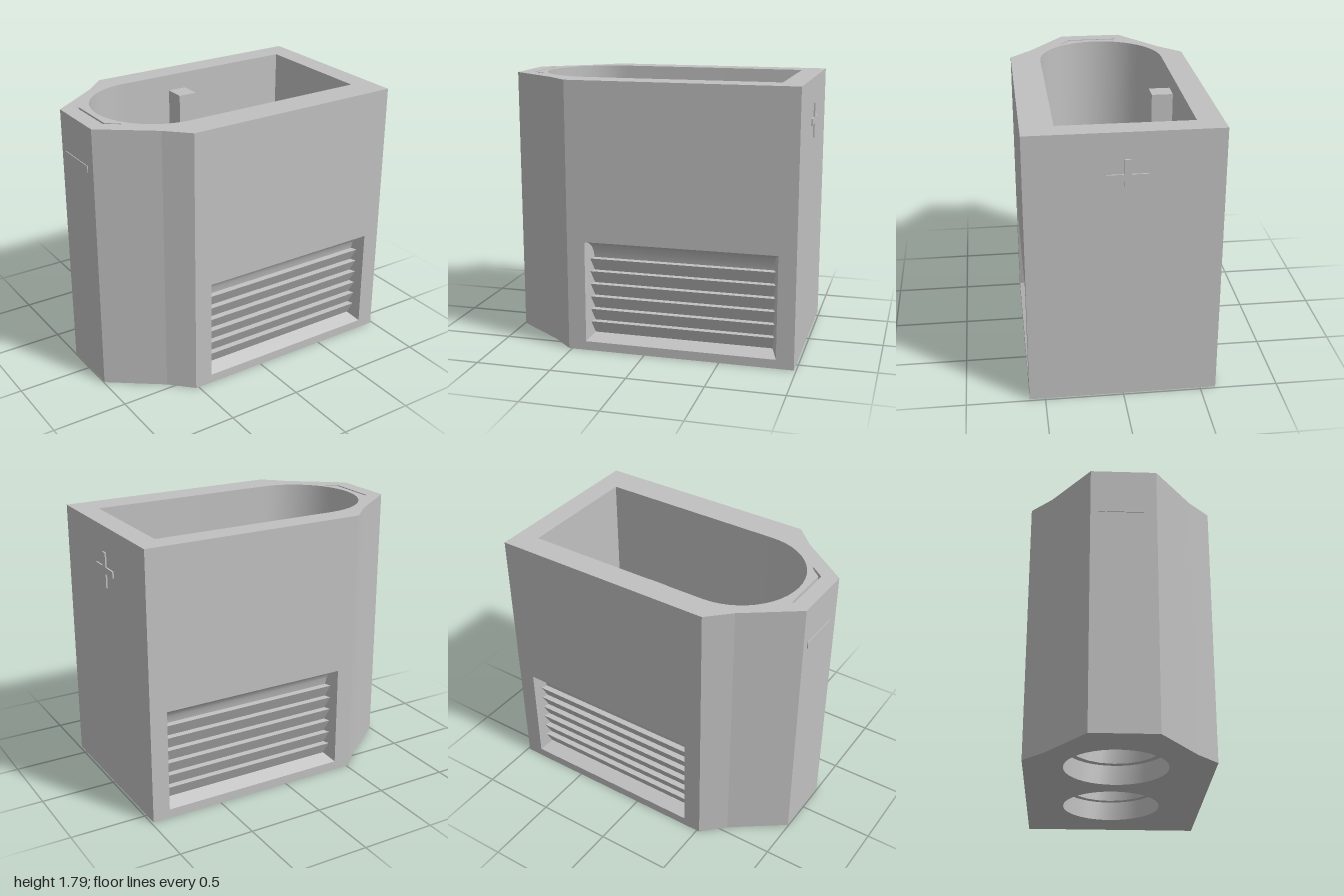
import * as THREE from 'three';
import { toCreasedNormals } from 'three/addons/utils/BufferGeometryUtils.js';

const H = 1.79;        // body height
const FLOOR = 0.4;     // cavity floor
const LEDGE = 0.13;    // depth of the counterbores
const XR = 0.985, XL = -0.995, CZ = -0.02;

export function createModel() {
  const model = new THREE.Group();
  const grey = new THREE.MeshStandardMaterial({ color: 0xc0c0c0, side: THREE.DoubleSide });
  grey.name = 'grey plastic';

  const add = (geo, name, parent = model) => {
    const mesh = new THREE.Mesh(geo, grey);
    mesh.name = name;
    parent.add(mesh);
    return mesh;
  };

  // Strip of quads between two rows of 3D points
  const strip = (low, high, crease) => {
    const pos = [];
    for (let i = 0; i < low.length - 1; i++) {
      const [a, b, c, d] = [low[i], low[i + 1], high[i + 1], high[i]];
      pos.push(...a, ...b, ...c, ...a, ...c, ...d);
    }
    const g = new THREE.BufferGeometry();
    g.setAttribute('position', new THREE.Float32BufferAttribute(pos, 3));
    return toCreasedNormals(g, crease);
  };
  // Upright wall along [x, z] points
  const wall = (pts, y0, y1, crease = 0.05) =>
    strip(pts.map(([x, z]) => [x, y0, z]), pts.map(([x, z]) => [x, y1, z]), crease);
  const closed = (pts) => [...pts, pts[0]];
  const shapeOf = (pts) => new THREE.Shape(pts.map(([x, y]) => new THREE.Vector2(x, y)));
  const flip = (g) => {
    const idx = g.index.array;
    for (let i = 0; i < idx.length; i += 3) [idx[i], idx[i + 1]] = [idx[i + 1], idx[i]];
    g.computeVertexNormals();
    return g;
  };
  // Level plate with holes, facing up or down
  const plate = (pts, holes, y, up) => {
    const s = shapeOf(pts);
    s.holes = holes.map(shapeOf);
    const g = new THREE.ShapeGeometry(s).rotateX(Math.PI / 2).translate(0, y, 0);
    return up ? flip(g) : g;
  };
  // Clockwise circle seen from above, so its wall faces inward
  const circle = (cx, r, n = 20) => Array.from({ length: n }, (_, i) => {
    const a = (i / n) * Math.PI * 2;
    return [cx + r * Math.cos(a), CZ + r * Math.sin(a)];
  });

  // Outer walls
  const nose = [[-0.52, -0.6], [-0.66, -0.46], [XL, -0.21], [XL, 0.21], [-0.66, 0.46], [-0.52, 0.6]];
  const side = [[XR, 0.6], [XR, -0.6]];
  const outline = [...side, ...nose];
  add(wall(side, 0, H), 'flatEndWall');
  add(wall(nose, 0, H), 'noseWall');

  // Cavity: square at one end, round at the other
  const cavity = [[0.84, -0.44], [0.84, 0.4]];
  for (let i = 0; i <= 24; i++) {
    const a = Math.PI / 2 + (i / 24) * Math.PI;
    cavity.push([-0.42 + 0.42 * Math.cos(a), CZ + 0.42 * Math.sin(a)]);
  }
  add(wall(closed(cavity), FLOOR, H, 0.4), 'cavityWall');

  // Thin bent slot in the rim
  const slot = [[-0.88, -0.18], [-0.88, 0.155], [-0.8, 0.225], [-0.805, 0.233], [-0.895, 0.165], [-0.895, -0.18]];
  add(wall(closed(slot), H - 0.1, H), 'slotWall');
  add(plate(slot, [], H - 0.1, true), 'slotFloor');

  // Rim, floor and underside with the two stepped holes
  const centres = [-0.4, 0.4];
  const bores = centres.map((x) => circle(x, 0.29));
  const counterbores = centres.map((x) => circle(x, 0.33, 40));
  add(plate(outline, [cavity, slot], H, true), 'rim');
  add(plate(cavity, bores, FLOOR, true), 'cavityFloor');
  add(plate(outline, counterbores, 0, false), 'underside');
  centres.forEach((_, i) => {
    add(wall(closed(counterbores[i]), 0, LEDGE, 0.5), 'counterboreWall');
    add(plate(counterbores[i], [bores[i]], LEDGE, false), 'counterboreLedge');
    add(wall(closed(bores[i]), LEDGE, FLOOR, 0.5), 'holeWall');
  });

  // Post inside the cavity
  const post = add(new THREE.BoxGeometry(0.13, 1.68 - FLOOR, 0.14), 'cavityPost');
  post.position.set(-0.005, (1.68 + FLOOR) / 2, -0.37);

  // Louvre profile as [depth, y]: cove, sawtooth slats, sloping sill
  const profile = [[0, 0.74], [0.04, 0.725], [0.065, 0.7], [0.082, 0.665], [0.09, 0.62]];
  const pitch = 0.52 / 6;
  for (let i = 0; i < 6; i++) {
    const y = 0.62 - i * pitch;
    profile.push([0.05, y - 0.002], [0.09, y - pitch]);
  }
  profile.push([0, 0.06]);
  const X0 = -0.4, X1 = 0.87;
  const inset = (d) => d * 0.42;

  // Long walls, each with a louvred recess
  for (const s of [1, -1]) {
    const g = new THREE.Group();
    g.name = s > 0 ? 'frontWall' : 'backWall';
    g.scale.z = s;
    const panel = shapeOf([[-0.52, 0], [XR, 0], [XR, H], [-0.52, H]]);
    panel.holes.push(shapeOf([[X0, 0.06], [X1, 0.06], [X1, 0.74], [X0, 0.74]]));
    add(new THREE.ShapeGeometry(panel).translate(0, 0, 0.6), 'wallPanel', g);
    add(strip(
      profile.map(([d, y]) => [X0 + inset(d), y, 0.6 - d]),
      profile.map(([d, y]) => [X1 - inset(d), y, 0.6 - d]), 0.6), 'louvreSlats', g);
    for (const left of [true, false]) {
      const cheek = new THREE.ShapeGeometry(shapeOf(profile));
      const p = cheek.attributes.position;
      for (let i = 0; i < p.count; i++) {
        const d = p.getX(i);
        p.setXYZ(i, left ? X0 + inset(d) : X1 - inset(d), p.getY(i), 0.6 - d);
      }
      if (!left) flip(cheek);
      cheek.computeVertexNormals();
      add(cheek, 'louvreCheek', g);
    }
    model.add(g);
  }

  // Raised plus on the flat end, raised minus on the nose
  const k = 0.022, py = 0.115, pz = 0.128;
  const plus = shapeOf([[k, k], [k, py], [-k, py], [-k, k], [-pz, k], [-pz, -k],
    [-k, -k], [-k, -py], [k, -py], [k, -k], [pz, -k], [pz, k]]);
  const plusMark = add(new THREE.ExtrudeGeometry(plus, { depth: 0.01, bevelEnabled: false })
    .rotateY(Math.PI / 2), 'plusMark');
  plusMark.position.set(XR, 1.508, -0.015);
  const minusMark = add(new THREE.BoxGeometry(0.008, 0.045, 0.3), 'minusMark');
  minusMark.position.set(XL - 0.001, 1.508, -0.01);

  return model;
}
